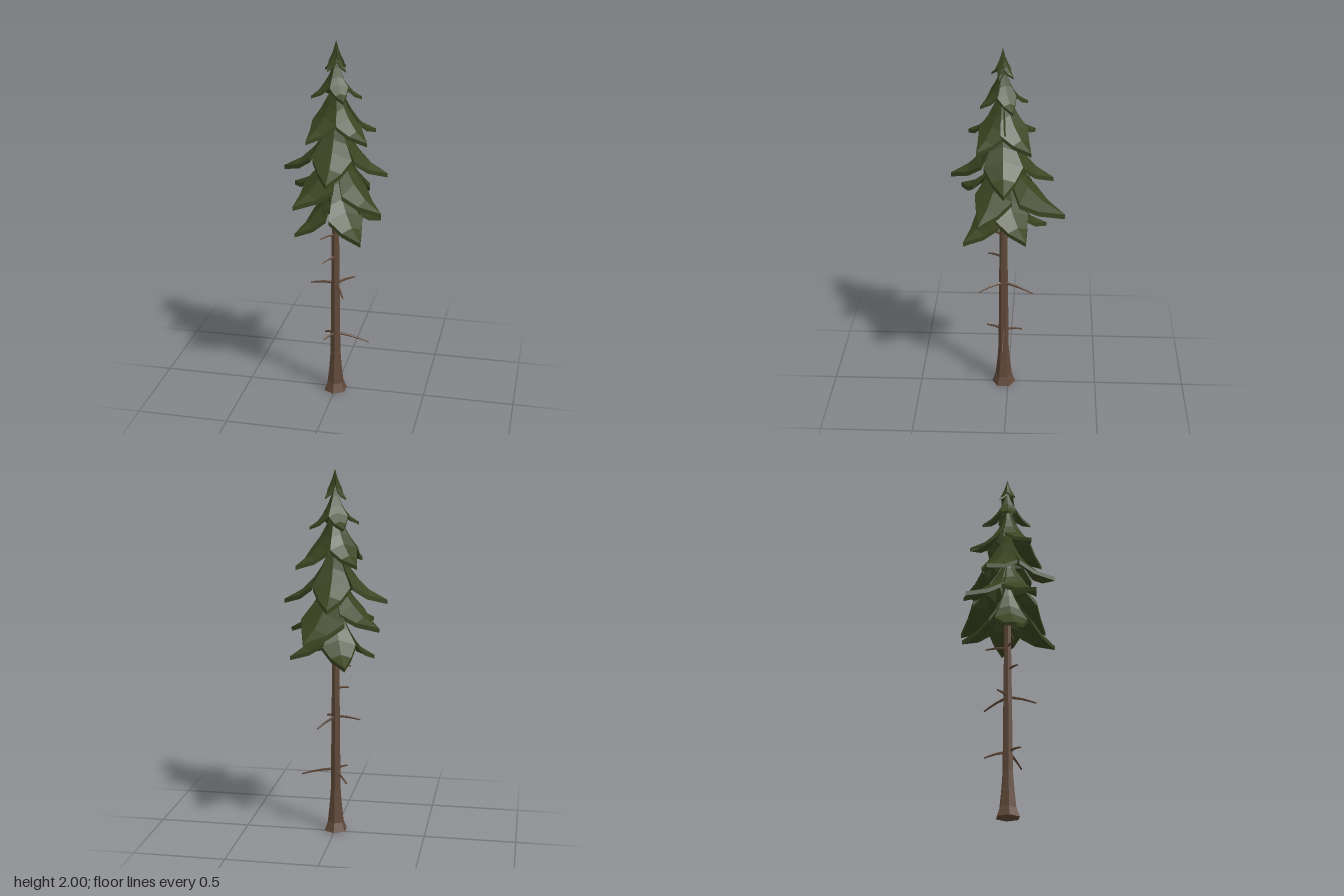
import * as THREE from 'three';
import { mergeGeometries } from 'three/addons/utils/BufferGeometryUtils.js';

const AXIS_X = 0.004, AXIS_Z = 0.025;

// Each tier: apex height, then four bough tips as [x, y, z]
const TIERS = [
  [2.0, [[0.045, 1.86, -0.03], [0.06, 1.85, 0.045], [-0.03, 1.86, 0.085], [-0.06, 1.85, 0.0]]],
  [1.92, [[0.13, 1.7, -0.03], [0.065, 1.71, 0.14], [-0.115, 1.72, 0.08], [-0.06, 1.7, -0.1]]],
  [1.81, [[0.187, 1.505, -0.125], [0.193, 1.505, 0.155], [-0.115, 1.515, 0.215], [-0.14, 1.515, -0.14]]],
  [1.67, [[0.278, 1.305, 0.013], [0.008, 1.315, 0.302], [-0.28, 1.315, 0.02], [0.002, 1.295, -0.24]]],
  [1.5, [[0.112, 1.13, -0.305], [0.268, 1.125, 0.145], [-0.175, 1.175, 0.262], [-0.255, 1.185, -0.11]]],
  [1.34, [[0.225, 1.015, -0.102], [0.176, 0.985, 0.232], [-0.195, 0.98, 0.156], [-0.086, 0.985, -0.206]]],
];

// Bough stations: reach, ridge drop, half width, underside drop (as fractions)
const STATIONS = [
  [0, 0, 0.01, 0.6],
  [0.12, 0.27, 0.12, 0.63],
  [0.25, 0.49, 0.25, 0.69],
  [0.4, 0.66, 0.375, 0.79],
  [0.65, 0.85, 0.22, 0.94],
  [1, 1, 0, 1.05],
];

// Drooping, pointed bough with a ridge on top; neighbours meet in valleys to form a star
function boughGeometry(apexY, [tx, ty, tz]) {
  const dx = tx - AXIS_X, dz = tz - AXIS_Z;
  const reach = Math.hypot(dx, dz), drop = apexY - ty;
  const ux = dx / reach, uz = dz / reach;
  const thick = 0.008 + reach * 0.055;
  const rings = STATIONS.map(([s, d, w, under]) => {
    const y = apexY - d * drop;
    const half = w * reach;
    const edge = y - half * 0.33;
    const bottom = Math.min(apexY - under * drop, y - thick * 0.8);
    const at = (side, h) => [
      AXIS_X + ux * s * reach + uz * side * half, h,
      AXIS_Z + uz * s * reach - ux * side * half,
    ];
    return [at(0, y), at(1, edge), at(1, edge - thick), at(0, bottom), at(-1, edge - thick), at(-1, edge)];
  });
  const pos = [];
  for (let i = 0; i < rings.length - 1; i++) {
    for (let k = 0; k < 6; k++) {
      const n = (k + 1) % 6;
      const a = rings[i][k], b = rings[i][n], c = rings[i + 1][n], d = rings[i + 1][k];
      pos.push(...a, ...d, ...c, ...a, ...c, ...b);
    }
  }
  const g = new THREE.BufferGeometry();
  g.setAttribute('position', new THREE.Float32BufferAttribute(pos, 3));
  g.computeVertexNormals();
  return g;
}

// Thin dead twig, bending down and tapering from the trunk to its tip
function twigGeometry([x, y, z], rootY) {
  const root = new THREE.Vector3(AXIS_X, rootY, AXIS_Z);
  const tip = new THREE.Vector3(x, y, z);
  const mid = root.clone().lerp(tip, 0.5);
  mid.y += 0.006;
  const curve = new THREE.CatmullRomCurve3([root, mid, tip]);
  const g = new THREE.TubeGeometry(curve, 4, 0.0085, 5);
  const p = new THREE.Vector3(), pos = g.attributes.position;
  for (let i = 0; i < pos.count; i++) {
    const u = g.attributes.uv.getX(i);
    p.fromBufferAttribute(pos, i).lerp(curve.getPointAt(u), u * 0.5);
    pos.setXYZ(i, p.x, p.y, p.z);
  }
  return g;
}

export function createModel() {
  const group = new THREE.Group();
  const bark = new THREE.MeshStandardMaterial({ color: 0x5f4839, flatShading: true });
  bark.name = 'bark brown';
  const needles = new THREE.MeshStandardMaterial({ color: 0x3b4421, flatShading: true });
  needles.name = 'needle green';
  const add = (name, geometry, material) => {
    const mesh = new THREE.Mesh(geometry, material);
    mesh.name = name;
    group.add(mesh);
    return mesh;
  };

  // Six-sided trunk with flared foot
  const profile = [[0, 0], [0.066, 0], [0.047, 0.05], [0.036, 0.15], [0.029, 0.24],
    [0.025, 0.6], [0.019, 1.1], [0.006, 1.6], [0, 1.6]];
  const trunk = add('trunk', new THREE.LatheGeometry(profile.map(([r, y]) => new THREE.Vector2(r, y)), 6), bark);
  trunk.position.set(0, 0, AXIS_Z);

  // Dead twigs: tip position and height at the trunk
  const twigs = [
    [[0.19, 0.315, 0.025], 0.355], [[-0.08, 0.303, -0.075], 0.35], [[-0.05, 0.347, 0.12], 0.35],
    [[0.075, 0.626, -0.142], 0.655], [[-0.138, 0.646, 0.02], 0.658], [[0.07, 0.625, 0.16], 0.655],
    [[-0.058, 0.802, 0.11], 0.812],
    [[-0.072, 0.93, 0.085], 0.945], [[-0.03, 0.933, -0.09], 0.937],
    [[0.075, 1.025, 0.03], 1.037],
  ];
  add('deadTwigs', mergeGeometries(twigs.map(([tip, y]) => twigGeometry(tip, y))), bark);

  // Foliage tiers from the crown down
  TIERS.forEach(([apexY, tips], i) => {
    add(`foliageTier${i + 1}`, mergeGeometries(tips.map((tip) => boughGeometry(apexY, tip))), needles);
  });
  return group;
}
